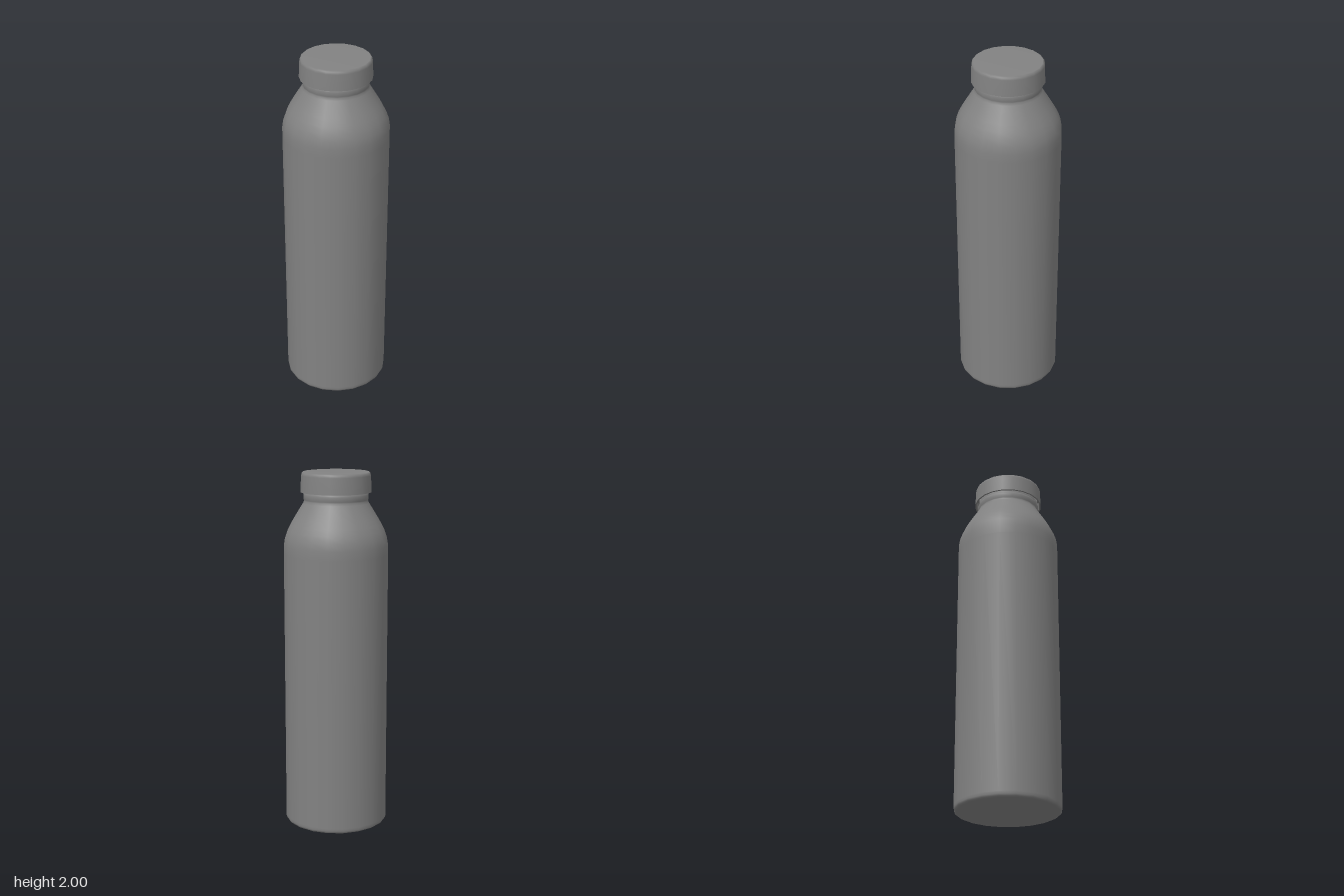
import * as THREE from 'three';

const SIDES = 20;

// Turns a profile of [radius, height] points; a repeated point makes a sharp edge.
function turned(name, profile, material) {
  const points = profile.map(([r, y]) => new THREE.Vector2(r, y));
  const mesh = new THREE.Mesh(new THREE.LatheGeometry(points, SIDES), material);
  mesh.name = name;
  return mesh;
}

export function createModel() {
  const group = new THREE.Group();
  group.name = 'bottle';
  const material = new THREE.MeshStandardMaterial({ color: 0x828282 });

  // Body: flat base, small bevel, straight wall, rounded shoulder and beaded neck
  group.add(turned('body', [
    [0, 0], [0.278, 0], [0.287, 0.005], [0.291, 0.016], [0.291, 0.03],
    [0.291, 1.55], [0.291, 1.6], [0.284, 1.642], [0.271, 1.68], [0.254, 1.713],
    [0.233, 1.749], [0.183, 1.83], [0.178, 1.843], [0.178, 1.85],
    [0.181, 1.858], [0.181, 1.875], [0.178, 1.884], [0.174, 1.89], [0.174, 1.93], [0, 1.93],
  ], material));

  // Cap: open skirt with a thin rim, slight taper and a softened top edge
  group.add(turned('cap', [
    [0, 1.94], [0.183, 1.94], [0.183, 1.94], [0.188, 1.89], [0.188, 1.89],
    [0.197, 1.89], [0.197, 1.89], [0.193, 1.98], [0.19, 1.993],
    [0.182, 2], [0, 2],
  ], material));

  return group;
}
